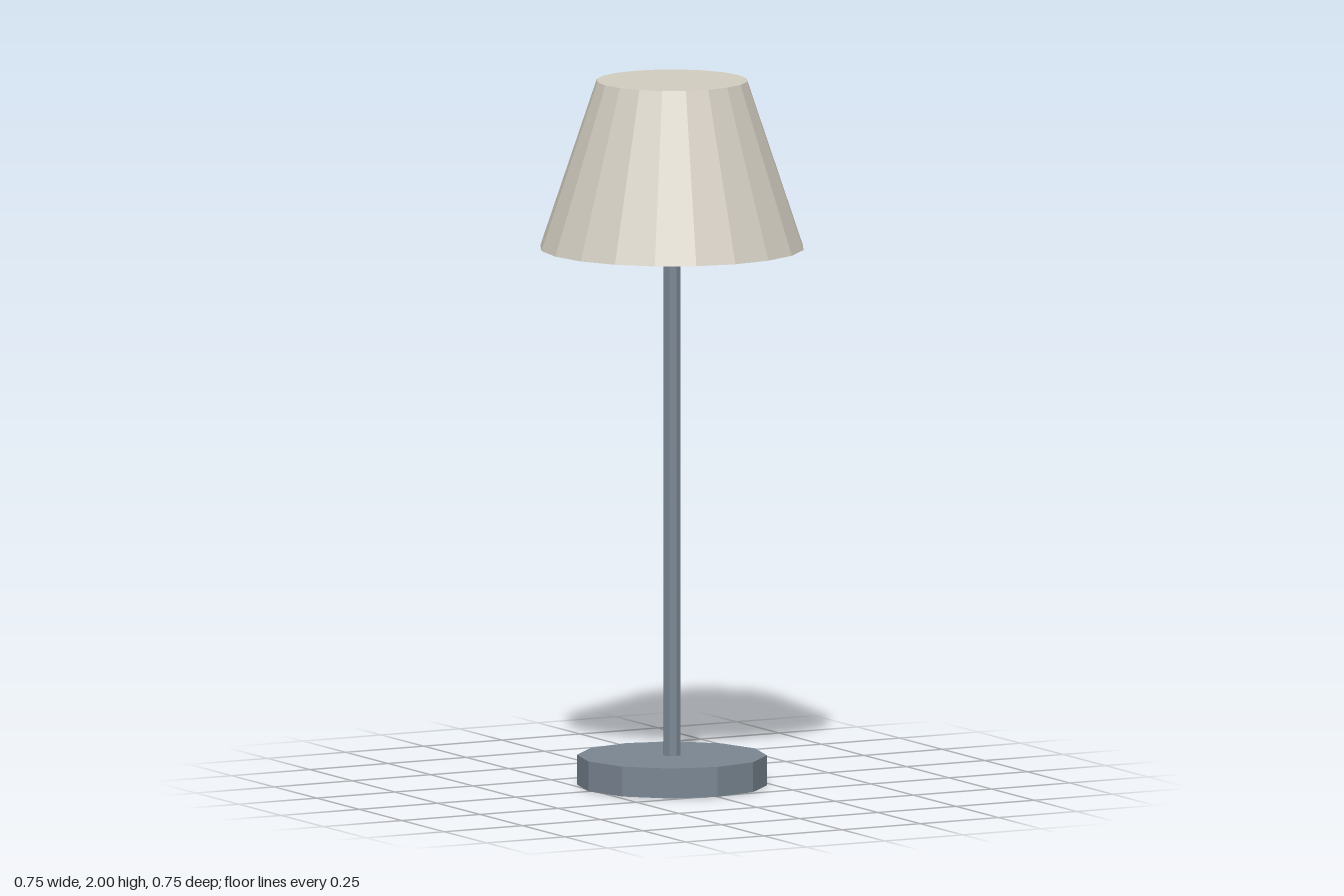
import * as THREE from 'three';

export function createModel() {
  const group = new THREE.Group();
  const material = (name, color) => {
    const m = new THREE.MeshStandardMaterial({ color, flatShading: true });
    m.name = name;
    return m;
  };
  const slate = material('slate metal', 0x7a8692);
  const linen = material('pale linen', 0xd2ccc0);

  // Faceted round part standing between two heights
  const addRound = (name, topRadius, bottomRadius, y0, y1, sides, mat) => {
    const geometry = new THREE.CylinderGeometry(topRadius, bottomRadius, y1 - y0, sides);
    const mesh = new THREE.Mesh(geometry, mat);
    mesh.name = name;
    mesh.position.y = (y0 + y1) / 2;
    group.add(mesh);
  };

  addRound('base', 0.267, 0.267, 0, 0.085, 12, slate);
  addRound('pole', 0.025, 0.025, 0.085, 1.525, 8, slate);
  addRound('lampshade', 0.213, 0.373, 1.525, 2, 20, linen);

  return group;
}
